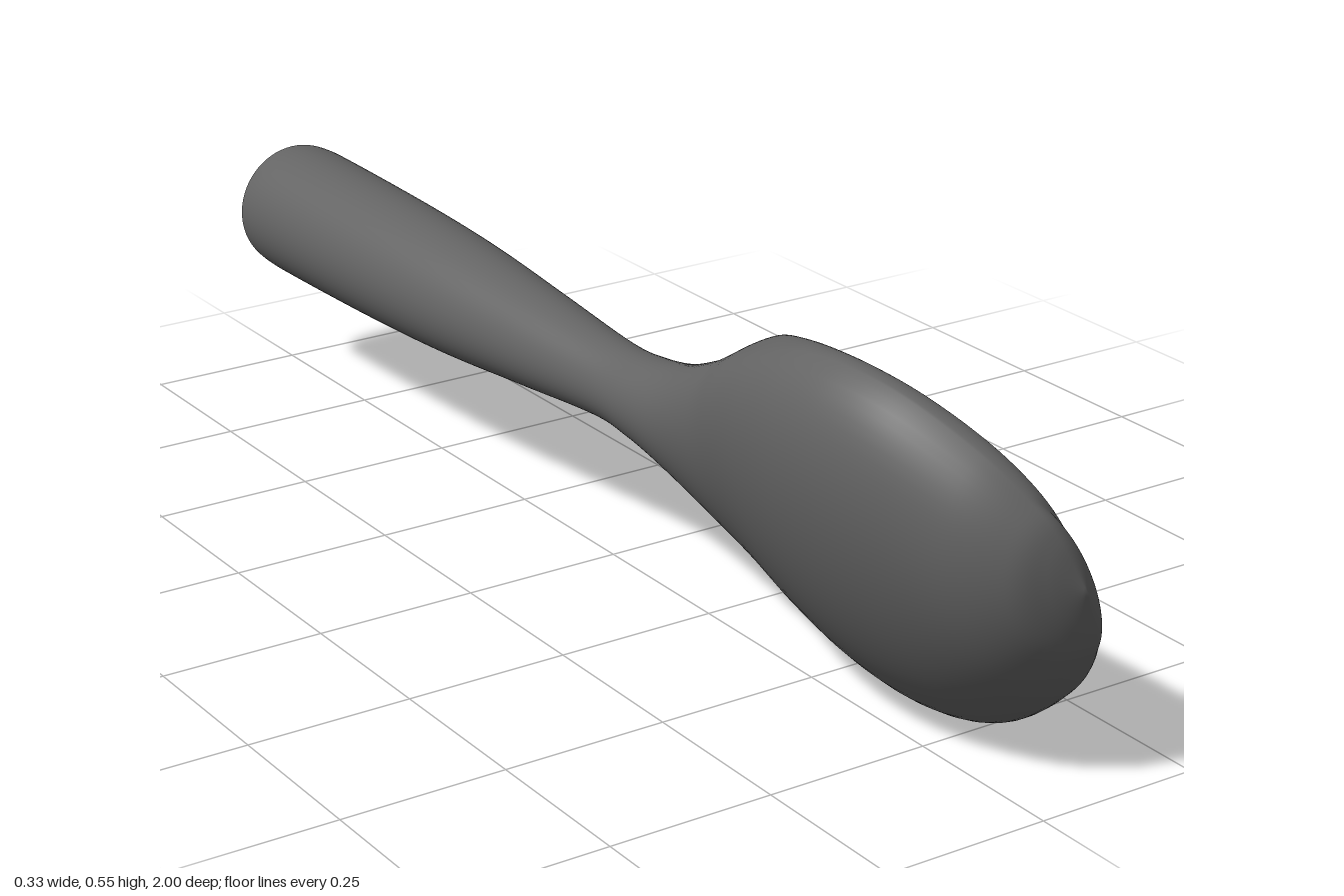
import * as THREE from 'three';
import { mergeVertices } from 'three/addons/utils/BufferGeometryUtils.js';

// Stations along the spoon, in the frame of the bowl (x = out of the bowl, y = across):
// [z, half width, side height, top height, depth below, sideways offset]
const STATIONS = [
  [-1, 0, 0, 0, 0, 0],
  [-0.992, 0.065, 0, 0.065, 0.065, 0],
  [-0.975, 0.095, 0, 0.095, 0.095, 0],
  [-0.95, 0.105, 0, 0.105, 0.105, 0],
  [-0.85, 0.106, 0, 0.106, 0.106, 0],
  [-0.6, 0.101, 0, 0.101, 0.101, 0],
  [-0.4, 0.092, 0, 0.092, 0.092, 0],
  [-0.2, 0.076, 0, 0.076, 0.076, 0],
  [0, 0.06, 0, 0.06, 0.06, 0],
  [0.1, 0.066, 0, 0.063, 0.064, 0],
  [0.2, 0.092, 0.004, 0.076, 0.074, -0.003],
  [0.32, 0.153, 0.01, 0.094, 0.087, -0.009],
  [0.4, 0.202, 0.012, 0.084, 0.096, -0.012],
  [0.5, 0.252, 0.015, 0.067, 0.114, -0.014],
  [0.6, 0.287, 0.018, 0.059, 0.126, -0.015],
  [0.7, 0.298, 0.021, 0.058, 0.126, -0.015],
  [0.8, 0.275, 0.03, 0.066, 0.112, -0.013],
  [0.9, 0.205, 0.045, 0.08, 0.08, -0.006],
  [0.96, 0.132, 0.055, 0.088, 0.035, 0],
  [0.985, 0.08, 0.059, 0.082, -0.012, 0],
  [1, 0, 0.06, 0.06, -0.06, 0],
];
const STEPS = 10; // rows between neighbouring stations
const OPEN_START = 0.32, OPEN_END = 0.96, OPEN_WIDTH = 0.255;

// Smooth rows through the stations
function makeRows() {
  const curve = (a, b, c) => new THREE.CatmullRomCurve3(
    STATIONS.map((s) => new THREE.Vector3(s[a], s[b], s[c])), false, 'catmullrom', 0.5);
  const first = curve(0, 1, 2), second = curve(3, 4, 5);
  const count = (STATIONS.length - 1) * STEPS;
  const rows = [];
  for (let i = 0; i <= count; i++) {
    const p = first.getPoint(i / count), q = second.getPoint(i / count);
    // half width of the bowl opening, as a fraction of its widest
    const s = Math.abs((p.x - (OPEN_START + OPEN_END) / 2) / ((OPEN_END - OPEN_START) / 2));
    const open = s < 0.99999 ? Math.sqrt(1 - s ** 2.2) : 0;
    rows.push({ z: p.x, half: Math.max(0, p.y), side: p.z, top: q.x, depth: q.y, offset: q.z, open });
  }
  return rows;
}

// Skin a list of rows, each sampled at the same number of columns
function loft(rows, columns, pointAt) {
  const positions = [], index = [];
  rows.forEach((row, i) => {
    for (let j = 0; j <= columns; j++) {
      const [x, y] = pointAt(row, j / columns);
      positions.push(x, y + row.offset, row.z);
      if (i < rows.length - 1 && j < columns) {
        const a = i * (columns + 1) + j, b = a + columns + 1;
        index.push(a, a + 1, b, a + 1, b + 1, b);
      }
    }
  });
  const geometry = new THREE.BufferGeometry();
  geometry.setAttribute('position', new THREE.Float32BufferAttribute(positions, 3));
  geometry.setIndex(index);
  const merged = mergeVertices(geometry, 1e-5);
  merged.computeVertexNormals();
  return merged;
}

// Outer section: from one lip, round underneath, to the other lip
function bodyPoint(row, t) {
  const angle = t * Math.PI * 2;
  const c = Math.cos(angle), s = Math.sin(angle);
  const inner = OPEN_WIDTH * row.open;
  if (c >= 0) {
    const sign = t < 0.5 ? 1 : -1;
    return [row.side + (row.top - row.side) * c, sign * inner + (row.half - inner) * s];
  }
  return [row.side + (row.side + row.depth) * c, row.half * s];
}

// Hollow of the bowl, starting at the lip
function hollowPoint(row, t) {
  const angle = (t - 0.5) * Math.PI;
  const deep = (row.top + row.depth - 0.025) * row.open;
  return [row.top - deep * Math.cos(angle), OPEN_WIDTH * row.open * Math.sin(angle)];
}

export function createModel() {
  const grey = new THREE.MeshStandardMaterial({ color: 0x646464 });
  grey.name = 'grey';

  const rows = makeRows();
  const rowOf = (z) => STATIONS.findIndex((s) => s[0] === z) * STEPS;

  const body = new THREE.Mesh(loft(rows, 64, bodyPoint), grey);
  body.name = 'handleAndBowlShell';

  const hollowRows = rows.slice(rowOf(OPEN_START), rowOf(OPEN_END) + 1);
  const hollow = new THREE.Mesh(loft(hollowRows, 40, hollowPoint), grey);
  hollow.name = 'bowlHollow';

  // The bowl is rolled so that it opens sideways and a little upward
  const spoon = new THREE.Group();
  spoon.name = 'spoon';
  spoon.rotation.z = THREE.MathUtils.degToRad(25);
  spoon.position.y = 0.285;
  spoon.add(body, hollow);

  const model = new THREE.Group();
  model.name = 'model';
  model.add(spoon);
  return model;
}
